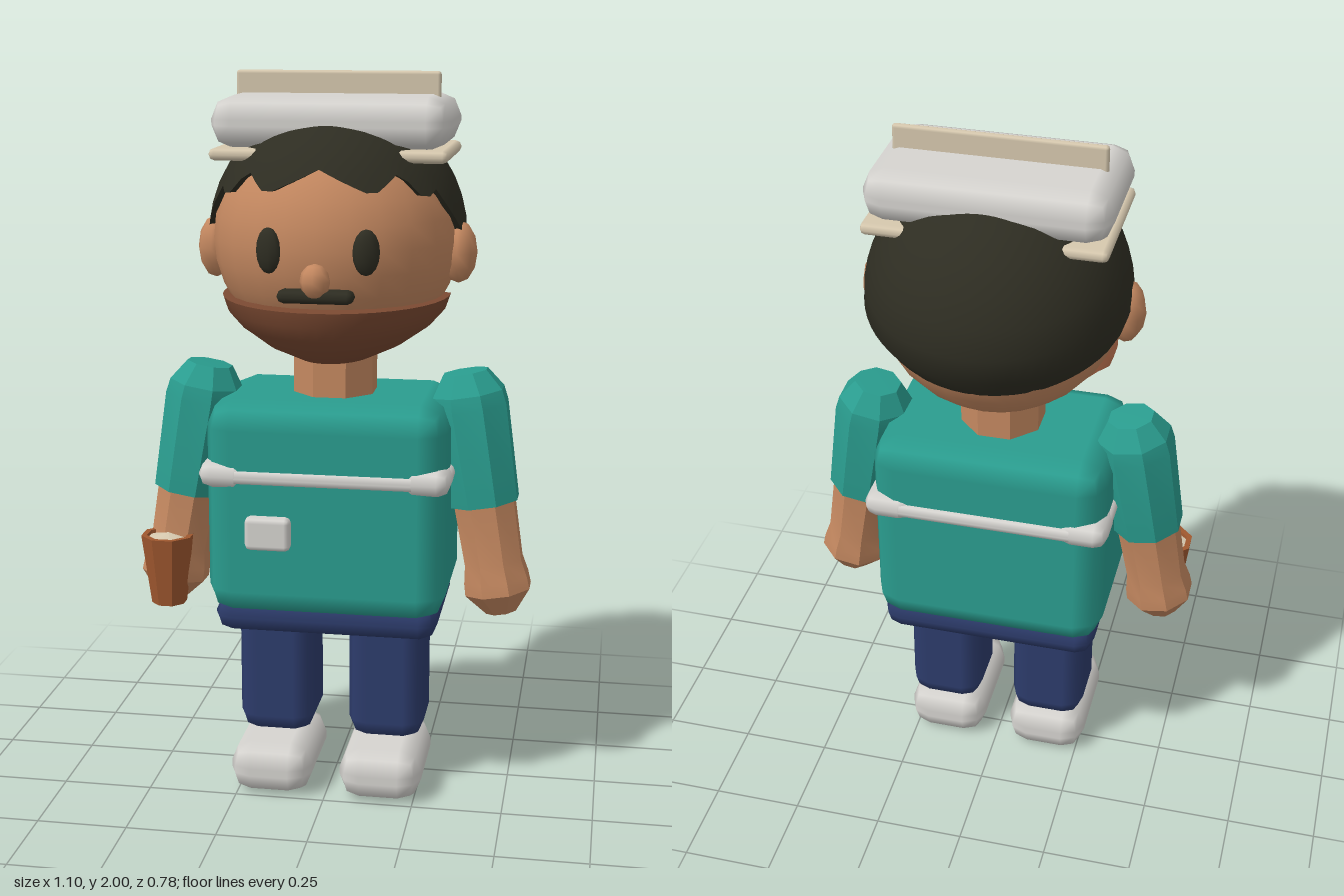
import * as THREE from 'three';
import { toCreasedNormals, mergeVertices } from 'three/addons/utils/BufferGeometryUtils.js';
import { RoundedBoxGeometry } from 'three/addons/geometries/RoundedBoxGeometry.js';

const mat = (name, color, side = THREE.FrontSide) => {
  const m = new THREE.MeshStandardMaterial({ color, side });
  m.name = name;
  return m;
};

// Grid surface: u runs around from front towards +x, v runs downwards
function surface(nu, nv, fn) {
  const pos = [], idx = [];
  for (let j = 0; j <= nv; j++)
    for (let i = 0; i <= nu; i++) pos.push(...fn(i / nu, j));
  for (let j = 0; j < nv; j++)
    for (let i = 0; i < nu; i++) {
      const a = j * (nu + 1) + i, d = a + nu + 1;
      idx.push(a, d, a + 1, a + 1, d, d + 1);
    }
  const g = new THREE.BufferGeometry();
  g.setAttribute('position', new THREE.Float32BufferAttribute(pos, 3));
  g.setIndex(idx);
  return toCreasedNormals(mergeVertices(g, 1e-4), 0.8);
}

// Faceted turned shape; profile runs bottom to top
function turned(profile, sides = 8) {
  const g = new THREE.LatheGeometry(profile.map(p => new THREE.Vector2(...p)), sides);
  g.rotateY(Math.PI / sides);
  return toCreasedNormals(g, 0.3);
}

export function createModel() {
  const root = new THREE.Group();
  root.name = 'figure';
  const skin = mat('skin', 0xc48860);
  const hairMat = mat('dark hair', 0x2e2d22, THREE.DoubleSide);
  const beardMat = mat('beard brown', 0x7c4a32, THREE.DoubleSide);
  const teal = mat('teal shirt', 0x2a9d8f);
  const navy = mat('navy trousers', 0x2d3c6c);
  const silver = mat('light grey', 0xd6d4d0);
  const beige = mat('beige', 0xd6c8ae);
  const cupMat = mat('cup brown', 0xa0582f);

  const add = (name, geo, material, x, y, z, parent = root) => {
    const m = new THREE.Mesh(geo, material);
    m.name = name;
    m.position.set(x, y, z);
    parent.add(m);
    return m;
  };
  // Chamfered box from its extents
  const block = (name, material, [x0, x1], [y0, y1], [z0, z1], r) =>
    add(name, new RoundedBoxGeometry(x1 - x0, y1 - y0, z1 - z0, 1, r), material,
      (x0 + x1) / 2, (y0 + y1) / 2, (z0 + z1) / 2);
  const blob = (name, material, x, y, z, rx, ry, rz, w, h) =>
    add(name, new THREE.SphereGeometry(1, w, h).scale(rx, ry, rz), material, x, y, z);

  // Body
  block('torso', teal, [-0.33, 0.33], [0.53, 1.135], [-0.205, 0.255], 0.075);
  block('hips', navy, [-0.31, 0.31], [0.475, 0.58], [-0.19, 0.24], 0.05);
  add('neck', turned([[0, 0], [0.118, 0], [0.118, 0.24], [0, 0.24]]), skin, 0, 1.1, 0.025);
  block('badge', silver, [-0.21, -0.085], [0.735, 0.828], [0.24, 0.285], 0.015);

  // Chest band: four bars and thicker corners
  for (const [z0, z1] of [[0.21, 0.264], [-0.219, -0.165]])
    block('chestBand', silver, [-0.27, 0.27], [0.91, 0.955], [z0, z1], 0.02);
  for (const s of [1, -1]) {
    block('chestBandSide', silver, s > 0 ? [0.29, 0.343] : [-0.343, -0.29], [0.91, 0.955], [-0.15, 0.2], 0.02);
    for (const z of [0.197, -0.152])
      add('bandCorner', new RoundedBoxGeometry(0.14, 0.076, 0.138, 1, 0.038), silver, s * 0.275, 0.933, z);
  }

  for (const s of [1, -1]) {
    // Legs and shoes
    add('leg', new RoundedBoxGeometry(0.215, 0.4, 0.235, 1, 0.055), navy, s * 0.157, 0.34, 0.025);
    add('shoe', new RoundedBoxGeometry(0.232, 0.145, 0.36, 1, 0.062), silver, s * 0.155, 0.0725, 0.08);

    // Arms
    const arm = new THREE.Group();
    arm.name = s > 0 ? 'leftArm' : 'rightArm';
    arm.position.set(s * 0.375, 1.1, 0.022);
    arm.rotation.set(-0.045, 0, s * 0.17);
    root.add(arm);
    add('sleeve', turned([[0, -0.27], [0.1, -0.27], [0.11, 0.0], [0.104, 0.04], [0.065, 0.098], [0, 0.1]]),
      teal, 0, 0, 0, arm);
    add('forearm', turned([[0, -0.59], [0.045, -0.588], [0.097, -0.525], [0.095, -0.49], [0.085, -0.44],
      [0.09, -0.25], [0, -0.25]]), skin, 0, 0, 0, arm);

    // Ears and eyes
    blob('ear', skin, s * 0.335, 1.525, 0.015, 0.05, 0.085, 0.066, 8, 6);
    const eye = blob('eye', hairMat, s * 0.127, 1.56, 0.318, 0.036, 0.06, 0.022, 10, 8);
    eye.rotation.y = s * 0.35;
  }

  // Cup in the right hand
  add('cup', turned([[0, 0], [0.05, 0], [0.076, 0.2], [0.06, 0.2], [0.058, 0.185]]), cupMat, -0.465, 0.52, 0.118);
  add('cupFilling', turned([[0.061, 0], [0, 0.015]]), beige, -0.465, 0.71, 0.118);

  // Head and face
  blob('head', skin, 0, 1.56, 0, 0.335, 0.325, 0.345, 24, 16);
  blob('nose', skin, 0, 1.488, 0.352, 0.04, 0.046, 0.038, 8, 6);
  block('moustache', hairMat, [-0.1, 0.1], [1.43, 1.465], [0.31, 0.368], 0.017);

  // Beard: rows of height, half width, depth, sweep
  const beardRows = [[1.408, 0.25, 0.27, 1.66], [1.405, 0.312, 0.355, 1.66], [1.365, 0.298, 0.345, 1.6],
    [1.325, 0.262, 0.32, 1.52], [1.275, 0.19, 0.265, 1.62], [1.238, 0.11, 0.18, 1.6], [1.24, 0, 0.02, 1.6]];
  add('beard', surface(20, beardRows.length - 1, (u, j) => {
    const [y, rx, rz, sweep] = beardRows[j], a = (u * 2 - 1) * sweep;
    return [rx * Math.sin(a), y, rz * Math.cos(a)];
  }), beardMat, 0, 0, 0);

  // Hair: shell from the crown down to a jagged hairline (angle from front, height)
  const hairline = [[0, 1.765], [0.45, 1.7], [0.72, 1.755], [0.92, 1.68], [1.08, 1.705], [1.22, 1.64],
    [1.42, 1.575], [1.68, 1.55], [1.85, 1.48], [2.5, 1.425], [3.15, 1.415]];
  const lineAt = a => {
    const k = Math.max(1, hairline.findIndex(p => p[0] >= a));
    const [a0, y0] = hairline[k - 1], [a1, y1] = hairline[k];
    return y0 + (y1 - y0) * (a - a0) / (a1 - a0);
  };
  const rings = 9;
  add('hair', surface(64, rings + 1, (u, j) => {
    const a = (u * 2 - 1) * Math.PI;
    const t = Math.acos((lineAt(Math.abs(a)) - 1.56) / 0.36) * Math.min(j / rings, 1);
    const dy = 0.36 * Math.cos(t), low = Math.min(dy, 0);
    const r = Math.sin(t) * (1 - 8 * low * low) * (j > rings ? 0.86 : 1);
    return [0.352 * r * Math.sin(a), 1.56 + dy, -0.02 + 0.375 * r * Math.cos(a)];
  }), hairMat, 0, 0, 0);

  // Hat
  block('hatBrim', beige, [-0.318, 0.318], [1.772, 1.805], [-0.203, 0.176], 0.016);
  block('hatCrown', silver, [-0.32, 0.32], [1.8, 1.94], [-0.203, 0.176], 0.062);
  block('hatCrest', beige, [-0.278, 0.278], [1.92, 2], [-0.027, -0.007], 0.009);
  return root;
}
